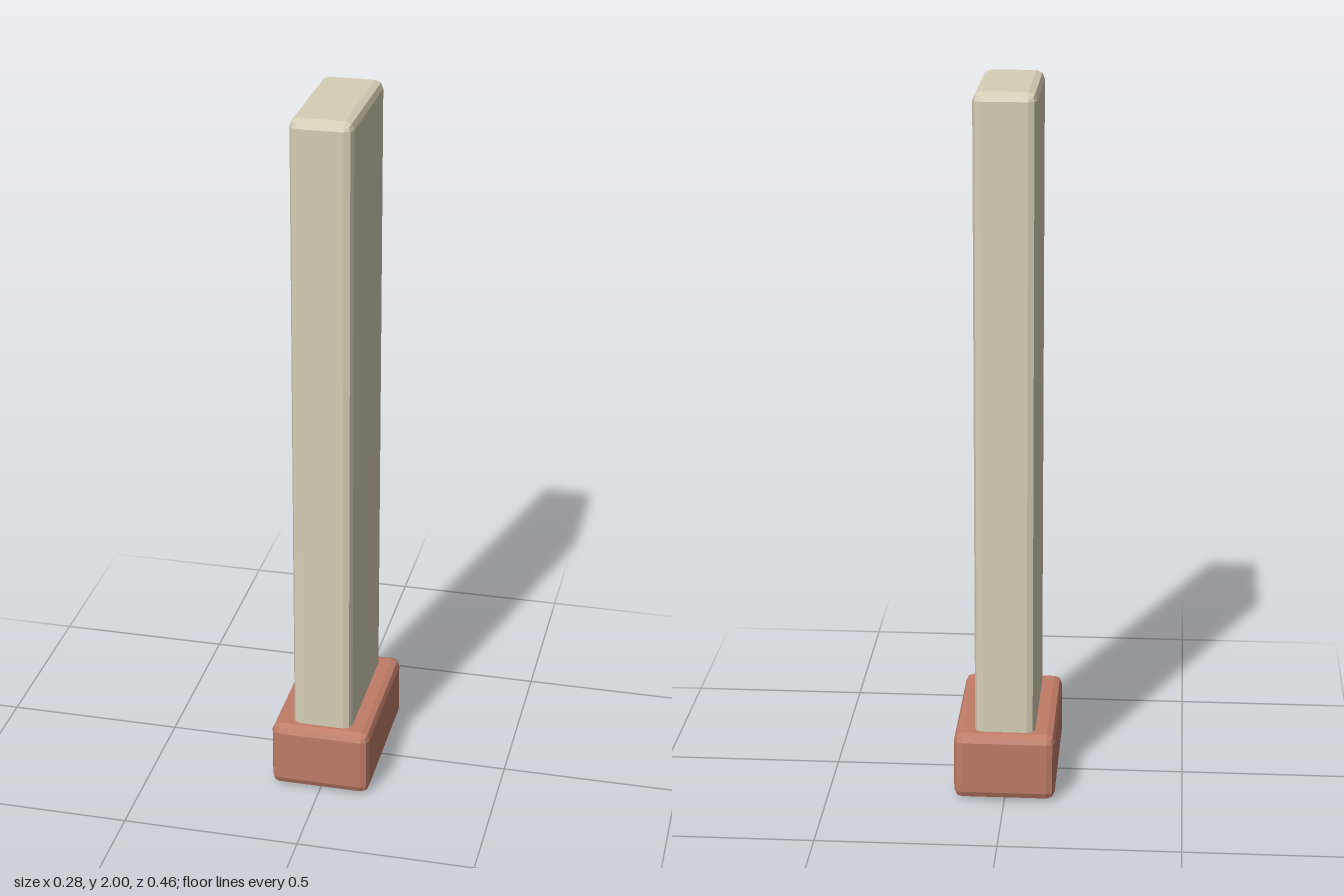
import * as THREE from 'three';
import { RoundedBoxGeometry } from 'three/addons/geometries/RoundedBoxGeometry.js';

// Box with two-facet bevels, spanning bottom..top in y
function bevelledBox(name, width, depth, bottom, top, color) {
  const geometry = new RoundedBoxGeometry(width, top - bottom, depth, 1, 0.023);
  const material = new THREE.MeshStandardMaterial({ color, flatShading: true });
  const mesh = new THREE.Mesh(geometry, material);
  mesh.name = name;
  mesh.position.y = (bottom + top) / 2;
  return mesh;
}

export function createModel() {
  const group = new THREE.Group();
  group.name = 'pillar';
  // Tall slab runs right through the base and shows underneath
  group.add(bevelledBox('slab', 0.17, 0.398, 0, 2, 0xd6cfb6));
  // Wider block around the foot
  group.add(bevelledBox('base', 0.284, 0.462, 0.005, 0.2, 0xc07c67));
  return group;
}
